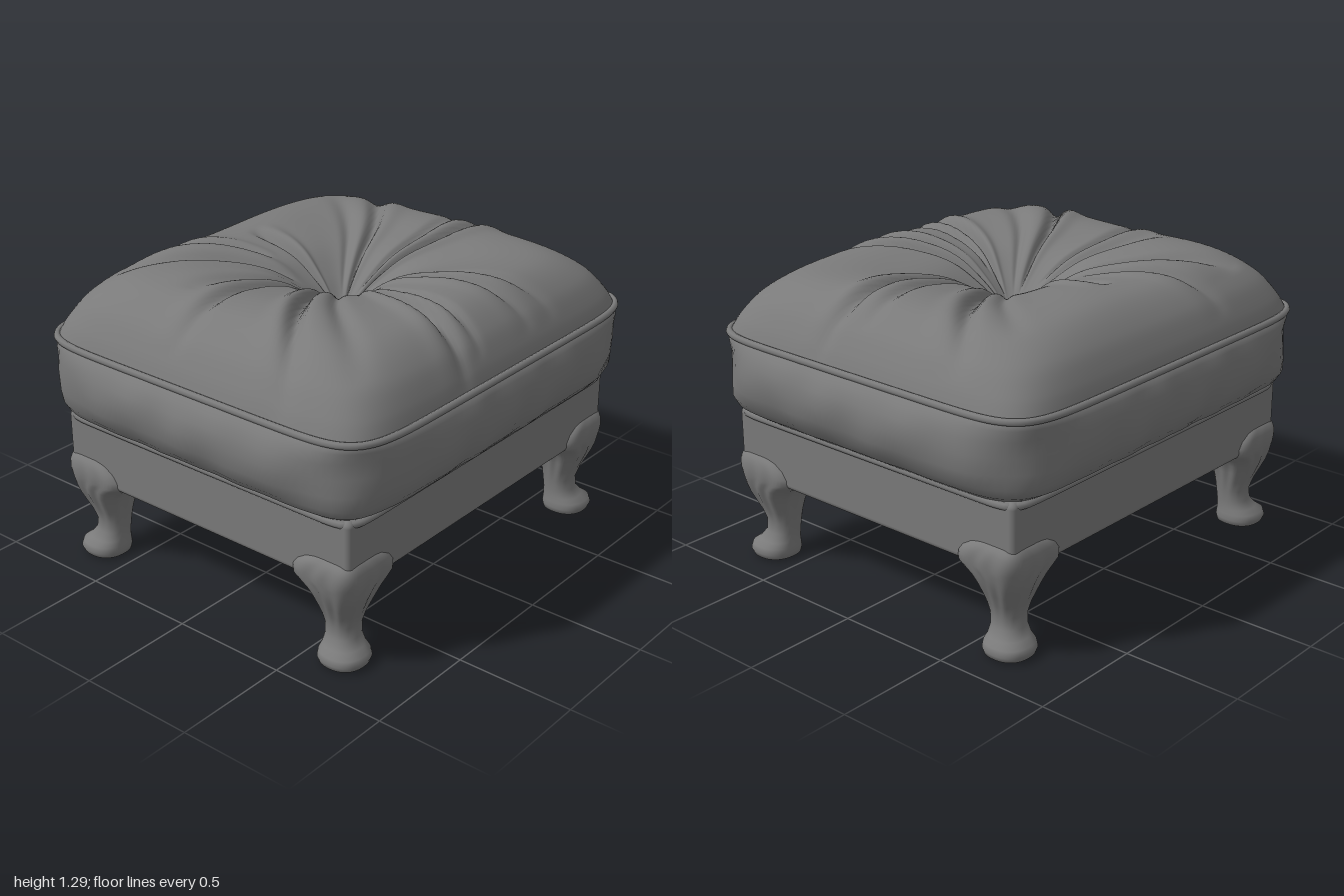
import * as THREE from 'three';
import { RoundedBoxGeometry } from 'three/addons/geometries/RoundedBoxGeometry.js';

const TAU = Math.PI * 2;
const grey = new THREE.MeshStandardMaterial({ color: 0x7a7a7a });
grey.name = 'grey leather';

// Radius of a superellipse (half sizes a, b; squareness n) in direction t
const radius = (t, a, b, n) =>
  1 / Math.pow(Math.pow(Math.abs(Math.cos(t)) / a, n) + Math.pow(Math.abs(Math.sin(t)) / b, n), 1 / n);

// Smooth skin over closed rings, listed from the bottom up; point(ring, angle) gives [x, y, z]
function loft(rings, sides, point) {
  const pos = [], index = [];
  for (let i = 0; i < rings; i++) {
    for (let j = 0; j < sides; j++) {
      pos.push(...point(i, (j / sides) * TAU));
      if (i === rings - 1) continue;
      const a = i * sides + j, b = i * sides + ((j + 1) % sides);
      index.push(a, a + sides, b, b, a + sides, b + sides);
    }
  }
  const g = new THREE.BufferGeometry();
  g.setAttribute('position', new THREE.Float32BufferAttribute(pos, 3));
  g.setIndex(index);
  g.computeVertexNormals();
  return g;
}

// Smooth curve through [key, value] points, sampled by key
function profile(points) {
  return (k) => {
    let i = 0;
    while (i < points.length - 2 && k > points[i + 1][0]) i++;
    const slope = (m) => {
      const p = points[Math.max(m - 1, 0)], q = points[Math.min(m + 1, points.length - 1)];
      return (q[1] - p[1]) / (q[0] - p[0]);
    };
    const [x0, y0] = points[i], [x1, y1] = points[i + 1];
    const h = x1 - x0, t = (k - x0) / h, t2 = t * t, t3 = t2 * t;
    return y0 * (2 * t3 - 3 * t2 + 1) + y1 * (3 * t2 - 2 * t3)
      + h * (slope(i) * (t3 - 2 * t2 + t) + slope(i + 1) * (t3 - t2));
  };
}

// Folds running out from the button dimple: [direction, depth, width, start, end]
const folds = [
  [-1.55, 0.045, 0.05, 0.05, 0.6], [-1.95, 0.03, 0.04, 0.35, 0.95], [-2.25, 0.045, 0.07, 0.2, 0.85],
  [-2.97, 0.03, 0.04, 0.15, 0.95], [-2.75, 0.02, 0.06, 0.1, 0.7], [2.72, 0.045, 0.045, 0.1, 1],
  [2.45, 0.025, 0.06, 0.1, 0.9], [1.94, 0.055, 0.04, 0.1, 1], [1.79, 0.035, 0.03, 0.2, 0.95],
  [1.38, 0.04, 0.04, 0.08, 0.95], [1.2, 0.035, 0.035, 0.05, 0.95], [0.26, 0.045, 0.035, 0.05, 1],
  [0.08, 0.025, 0.04, 0.1, 0.9], [-0.45, 0.04, 0.05, 0.05, 0.95], [-0.68, 0.02, 0.06, 0.1, 0.8],
];
function foldDepth(t, r) {
  let d = 0;
  for (const [dir, depth, width, from, to] of folds) {
    if (r <= from || r >= to) continue;
    const off = Math.atan2(Math.sin(t - dir - 0.06 * Math.sin(r * 5)), Math.cos(t - dir - 0.06 * Math.sin(r * 5)));
    const along = Math.pow(Math.sin(((r - from) / (to - from)) * Math.PI), 0.7);
    // a sharp valley with a soft raised lip on one side
    d += along * depth * (Math.exp(-((off / width) ** 2)) - 0.35 * Math.exp(-(((off - width * 2.4) / (width * 1.5)) ** 2)));
  }
  return d;
}

const seamRadius = (t) => radius(t, 0.93, 0.84, 9);

function cushionTop() {
  const height = profile([[0, 1.02], [0.06, 1.05], [0.15, 1.12], [0.3, 1.205], [0.5, 1.25],
    [0.65, 1.26], [0.78, 1.235], [0.9, 1.155], [0.97, 1.06], [1, 0.995]]);
  const rings = 48;
  return loft(rings, 288, (i, t) => {
    const u = i / (rings - 1);
    const r = Math.cos((u * Math.PI) / 2) * 0.5 + (1 - u) * 0.5;
    const n = 3 + 6 * r ** 3;
    const R = i === rings - 1 ? 0 : r * radius(t, 0.93, 0.84, n);
    const lump = Math.sin(r * Math.PI) * (-0.012 * Math.cos(t + 0.3) + 0.008 * Math.sin(5 * t + 1));
    const y = height(r) + lump - (i === rings - 1 ? 0 : foldDepth(t, r));
    return [R * Math.cos(t), y, R * Math.sin(t)];
  });
}

function cushionSide() {
  // height, half width, half depth, squareness
  const rows = [[0.64, 0.8, 0.69, 12], [0.66, 0.88, 0.765, 11], [0.69, 0.925, 0.815, 9], [0.73, 0.96, 0.85, 7],
    [0.79, 0.988, 0.875, 5.5], [0.86, 0.998, 0.885, 5], [0.92, 0.99, 0.88, 5.2], [0.965, 0.965, 0.868, 6.5],
    [0.99, 0.94, 0.85, 8], [1.0, 0.92, 0.83, 9]];
  return loft(rows.length, 192, (i, t) => {
    const [y, a, b, n] = rows[i];
    const belly = Math.sin(((y - 0.64) / 0.36) * Math.PI);
    const ripple = 0.004 * belly * (Math.sin(17 * t + y * 14) + Math.sin(29 * t - y * 9));
    const R = radius(t, a, b, n) + ripple;
    return [R * Math.cos(t), y, R * Math.sin(t)];
  });
}

// Round cord following an outline at height y
function piping(outline, y, thickness) {
  const pts = [];
  for (let i = 0; i < 144; i++) {
    const t = (i / 144) * TAU, R = outline(t);
    pts.push(new THREE.Vector3(R * Math.cos(t), y, R * Math.sin(t)));
  }
  return new THREE.TubeGeometry(new THREE.CatmullRomCurve3(pts, true), 288, thickness, 8, true);
}

function cabrioleLeg(sx, sz) {
  // height, inner edge, outer edge, squareness
  const rows = [[0, 0.775, 0.785, 2], [0, 0.7, 0.86, 2.3], [0.008, 0.685, 0.875, 2.3], [0.03, 0.68, 0.884, 2.3],
    [0.055, 0.683, 0.877, 2.3], [0.075, 0.688, 0.85, 2.3], [0.11, 0.69, 0.826, 2.3], [0.16, 0.686, 0.822, 2.4],
    [0.21, 0.678, 0.836, 2.6], [0.26, 0.667, 0.856, 2.9], [0.3, 0.655, 0.872, 3.2], [0.335, 0.632, 0.883, 3.6],
    [0.36, 0.598, 0.889, 4], [0.38, 0.575, 0.893, 4.5], [0.41, 0.585, 0.895, 5], [0.44, 0.61, 0.892, 5],
    [0.465, 0.65, 0.882, 5], [0.48, 0.69, 0.864, 5], [0.49, 0.72, 0.84, 5]];
  return loft(rows.length, 72, (i, t) => {
    const [y, inner, outer, n] = rows[i];
    const c = (inner + outer) / 2, h = (outer - inner) / 2;
    const carving = y > 0.18 && y < 0.46 ? 0.004 * Math.sin(((y - 0.18) / 0.28) * Math.PI) * Math.cos(12 * t) : 0;
    const R = radius(t, h, h, n) + carving;
    return [sx * c + R * Math.cos(t), y, sz * (c - 0.125) + R * Math.sin(t)];
  });
}

export function createModel() {
  const model = new THREE.Group();
  model.name = 'footstool';
  const add = (name, geometry) => {
    const mesh = new THREE.Mesh(geometry, grey);
    mesh.name = name;
    model.add(mesh);
    return mesh;
  };

  add('cushionTop', cushionTop());
  add('cushionSide', cushionSide());
  add('seamPiping', piping((t) => seamRadius(t) + 0.002, 0.998, 0.015));
  add('basePiping', piping((t) => radius(t, 0.868, 0.752, 22), 0.65, 0.016));
  add('baseFrame', new RoundedBoxGeometry(1.735, 0.3, 1.495, 4, 0.025)).position.y = 0.518;

  for (const sx of [-1, 1]) {
    for (const sz of [-1, 1]) {
      add((sz > 0 ? 'front' : 'back') + (sx > 0 ? 'Left' : 'Right') + 'Leg', cabrioleLeg(sx, sz));
    }
  }
  return model;
}
